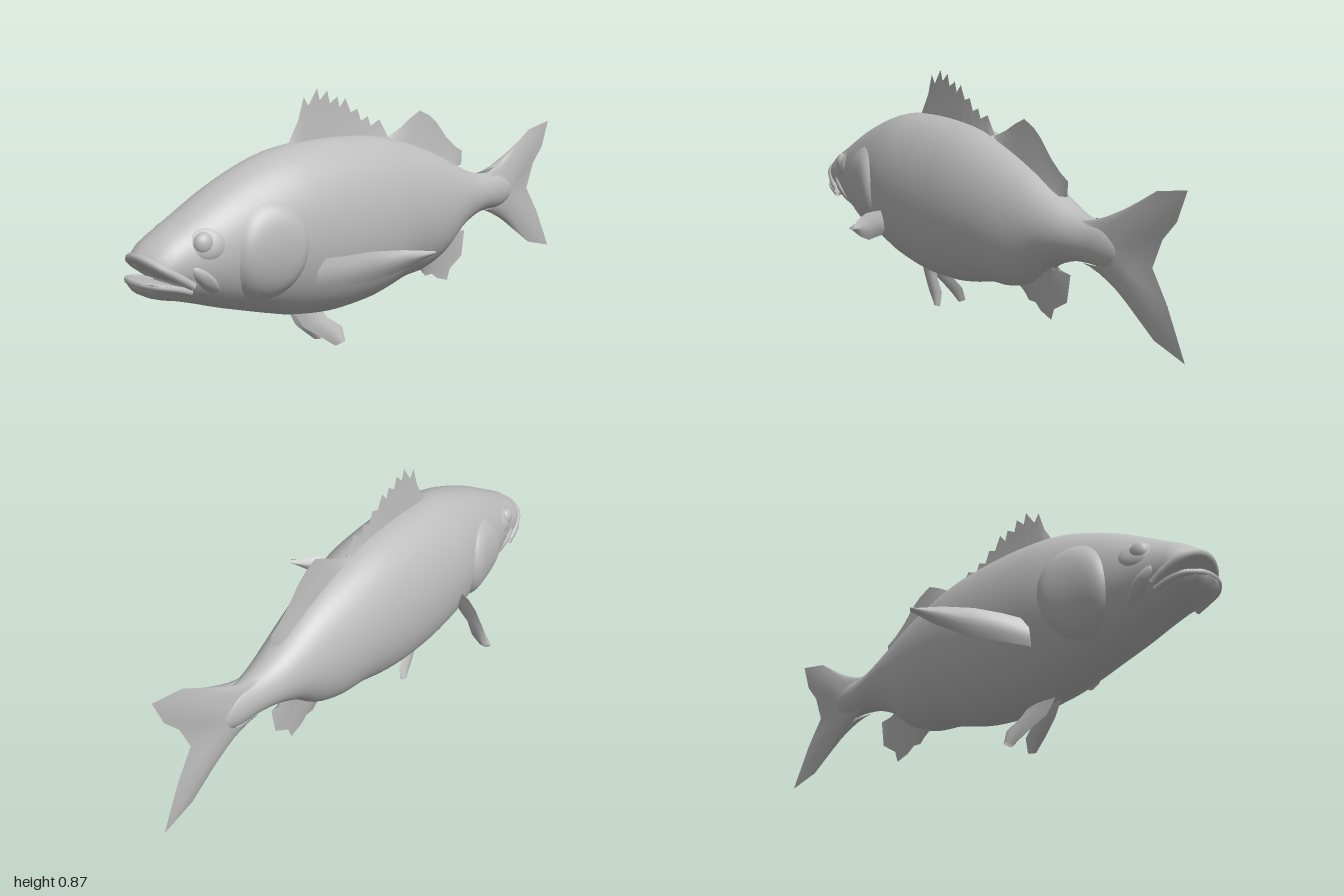
import * as THREE from 'three';

const V = (x, y, z) => new THREE.Vector3(x, y, z);
const lerp = THREE.MathUtils.lerp;
const clamp = THREE.MathUtils.clamp;

// Body stations: z, top, bottom, half width
const STATIONS = [
  [0.86, 0.51, 0.268, 0.115], [0.8, 0.545, 0.25, 0.127], [0.7, 0.6, 0.217, 0.147],
  [0.6, 0.645, 0.188, 0.163], [0.5, 0.68, 0.16, 0.178], [0.4, 0.7, 0.136, 0.188],
  [0.25, 0.71, 0.12, 0.19], [0.1, 0.706, 0.128, 0.184], [0, 0.695, 0.147, 0.176],
  [-0.1, 0.672, 0.174, 0.163], [-0.2, 0.642, 0.185, 0.147], [-0.3, 0.603, 0.222, 0.125],
  [-0.4, 0.555, 0.3, 0.1], [-0.5, 0.515, 0.345, 0.075], [-0.58, 0.5, 0.358, 0.057],
  [-0.66, 0.497, 0.36, 0.044], [-0.72, 0.472, 0.382, 0.028], [-0.75, 0.435, 0.415, 0.006],
];
const heights = new THREE.CatmullRomCurve3(STATIONS.map(s => V(s[0], s[1], s[2])), false, 'catmullrom');
const widths = new THREE.CatmullRomCurve3(STATIONS.map(s => V(s[0], s[3], 0)), false, 'catmullrom');

function bodyStation(t) {
  const a = heights.getPoint(t), b = widths.getPoint(t);
  return [a.x, a.y, a.z, b.y];
}

// Half width of the body surface at a given z and y
function skinX(z, y) {
  let lo = 0, hi = 1;
  for (let i = 0; i < 24; i++) {
    const m = (lo + hi) / 2;
    if (heights.getPoint(m).x > z) lo = m; else hi = m;
  }
  const [, top, bottom, w] = bodyStation(lo);
  const k = (y - (top + bottom) / 2) / ((top - bottom) / 2);
  return w * Math.sqrt(Math.max(0, 1 - k * k));
}

// Smooth surface through rows of points
function grid(rows, closed = false) {
  const n = rows[0].length, pos = [], index = [];
  rows.forEach(r => r.forEach(p => pos.push(p.x, p.y, p.z)));
  for (let i = 0; i < rows.length - 1; i++) {
    for (let j = 0; j < (closed ? n : n - 1); j++) {
      const a = i * n + j, b = i * n + (j + 1) % n;
      index.push(a, a + n, b, b, a + n, b + n);
    }
  }
  const g = new THREE.BufferGeometry();
  g.setAttribute('position', new THREE.Float32BufferAttribute(pos, 3));
  g.setIndex(index);
  g.computeVertexNormals();
  return g;
}

// Elliptical section, optionally cut flat at a lower or upper level
function section([z, top, bottom, w], lo = -9, hi = 9, n = 56) {
  return Array.from({ length: n }, (_, i) => {
    const a = i / n * Math.PI * 2;
    const y = (top + bottom) / 2 + (top - bottom) / 2 * Math.sin(a);
    return V(w * Math.cos(a), clamp(y, lo, hi), z);
  });
}

// Closes a section with its centre point
const centreRow = row => {
  const c = row.reduce((s, p) => s.add(p), V(0, 0, 0)).divideScalar(row.length);
  return row.map(() => c);
};

export function createModel() {
  const model = new THREE.Group();
  const skin = new THREE.MeshStandardMaterial({ color: 0xbcbcbc, side: THREE.DoubleSide });
  skin.name = 'grey skin';
  const add = (name, geometry) => {
    const mesh = new THREE.Mesh(geometry, skin);
    mesh.name = name;
    model.add(mesh);
    return mesh;
  };

  // Fin of two thin skins; each rib is [edge, edge], thickened along a normal
  function fin(name, ribs, normal, thick, profile) {
    for (const side of [1, -1]) {
      add(name, grid(ribs.map(([a, b]) => Array.from({ length: 7 }, (_, i) => {
        const s = i / 6;
        return a.clone().lerp(b, s).addScaledVector(normal, side * thick * profile(s));
      }))));
    }
  }
  // Upright fin on the midline: ribs are baseZ, baseY, tipZ, tipY
  const midFin = (name, ribs, thick) => fin(name,
    ribs.map(([bz, by, tz, ty]) => [V(0, by, bz), V(0, ty, tz)]), V(1, 0, 0), thick, s => Math.pow(1 - s, 1.3) + 0.12 * (1 - s));

  // Body
  const bodyRows = Array.from({ length: 81 }, (_, i) => section(bodyStation(i / 80)));
  add('body', grid([...bodyRows, centreRow(bodyRows[80])], true));
  add('throat', grid([bodyRows[0], centreRow(bodyRows[0])], true));

  // Jaws: head sections split by the open mouth
  const upper = [[0.86, 0.51, 0.268, 0.115, 0.325], [0.9, 0.488, 0.28, 0.109, 0.352],
    [0.93, 0.47, 0.29, 0.1, 0.375], [0.96, 0.447, 0.31, 0.077, 0.395], [0.982, 0.432, 0.33, 0.035, 0.408]]
    .map(s => section(s, s[4]));
  add('upperJaw', grid([...upper, centreRow(upper[4])], true));
  const lower = [[0.86, 0.51, 0.268, 0.115, 0.318], [0.9, 0.48, 0.277, 0.112, 0.332],
    [0.94, 0.44, 0.29, 0.102, 0.342], [0.975, 0.41, 0.308, 0.075, 0.349], [0.994, 0.38, 0.328, 0.03, 0.352]]
    .map(s => section(s, -9, s[4]));
  add('lowerJaw', grid([...lower, centreRow(lower[4])], true));

  // Lips run round each jaw
  const lip = (name, pts, r) => {
    const all = [...pts.map(p => V(-p[0], p[1], p[2])), ...pts.slice(0, -1).reverse().map(p => V(...p))];
    add(name, new THREE.TubeGeometry(new THREE.CatmullRomCurve3(all), 40, r, 8));
  };
  lip('upperLip', [[0.109, 0.33, 0.855], [0.104, 0.362, 0.9], [0.085, 0.393, 0.944], [0.045, 0.413, 0.968], [0, 0.42, 0.975]], 0.014);
  lip('lowerLip', [[0.104, 0.312, 0.86], [0.099, 0.329, 0.91], [0.084, 0.338, 0.95], [0.045, 0.344, 0.98], [0, 0.346, 0.988]], 0.011);

  // Raised oval plate lying on the body surface
  function plate(name, side, cz, cy, rz, ry, tilt, lift, sharp) {
    const rows = [];
    for (let i = 0; i <= 14; i++) {
      const r = i / 14, row = [];
      for (let j = 0; j < 40; j++) {
        const a = j / 40 * Math.PI * 2;
        const u = r * Math.cos(a) * rz, v = r * Math.sin(a) * ry;
        const z = Math.min(0.859, cz + u * Math.cos(tilt) - v * Math.sin(tilt));
        const y = cy + u * Math.sin(tilt) + v * Math.cos(tilt);
        row.push(V(side * (skinX(z, y) - 0.004 + lift * (1 - Math.pow(r, sharp))), y, z));
      }
      rows.push(row);
    }
    add(name, grid(rows, true));
  }

  for (const side of [1, -1]) {
    const label = side > 0 ? 'left' : 'right';

    // Eye, brow ring, cheek bone and gill cover
    const eye = add(label + 'Eye', new THREE.SphereGeometry(0.036, 28, 18));
    eye.scale.set(0.75, 1, 1);
    eye.position.set(side * 0.104, 0.452, 0.81);
    plate(label + 'EyeSocket', side, 0.8, 0.452, 0.055, 0.052, 0, 0.012, 3);
    plate(label + 'CheekBone', side, 0.81, 0.34, 0.075, 0.024, 0.75, 0.014, 3);
    plate(label + 'GillCover', side, 0.585, 0.395, 0.125, 0.165, 0.1, 0.023, 7);

    // Side fins
    const mirror = ribs => ribs.map(r => r.map(p => V(side * p[0], p[1], p[2])));
    const lens = s => Math.sin(Math.PI * s);
    fin(label + 'PectoralFin', mirror([
      [[0.165, 0.35, 0.405], [0.165, 0.25, 0.42]],
      [[0.235, 0.364, 0.36], [0.235, 0.262, 0.365]],
      [[0.3, 0.38, 0.3], [0.3, 0.284, 0.285]],
      [[0.37, 0.385, 0.23], [0.38, 0.328, 0.205]],
      [[0.437, 0.381, 0.157], [0.437, 0.374, 0.152]],
    ]), V(side * 0.68, 0, 0.73), 0.014, lens);
    fin(label + 'PelvicFin', mirror([
      [[0.012, 0.145, 0.39], [0.015, 0.145, 0.28]],
      [[0.02, 0.083, 0.35], [0.03, 0.1, 0.25]],
      [[0.04, 0.04, 0.29], [0.046, 0.06, 0.197]],
      [[0.053, 0.001, 0.235], [0.058, 0.012, 0.195]],
    ]), V(side * 0.9, 0.4, 0), 0.012, lens);
  }

  // Spiny front dorsal fin: outline of spine tips and notches
  const spines = [[0.39, 0.7], [0.345, 0.775], [0.32, 0.85], [0.3, 0.82], [0.262, 0.875], [0.25, 0.835],
    [0.217, 0.865], [0.205, 0.822], [0.172, 0.842], [0.16, 0.805], [0.135, 0.835], [0.11, 0.785],
    [0.08, 0.795], [0.062, 0.752], [0.03, 0.765], [0.018, 0.73], [-0.025, 0.75], [-0.065, 0.69]];
  midFin('spinyDorsalFin', spines.map(([z, y], i) => [lerp(0.39, -0.06, i / 17), 0.68, z, y]), 0.009);

  // Soft rear dorsal fin
  midFin('softDorsalFin', [[-0.06, 0.67, -0.07, 0.685], [-0.09, 0.66, -0.13, 0.712], [-0.13, 0.65, -0.18, 0.742],
    [-0.18, 0.635, -0.23, 0.766], [-0.22, 0.62, -0.28, 0.745], [-0.27, 0.6, -0.32, 0.715], [-0.31, 0.58, -0.37, 0.66],
    [-0.34, 0.565, -0.42, 0.62], [-0.37, 0.555, -0.46, 0.598], [-0.4, 0.54, -0.457, 0.547]], 0.013);

  // Anal fin
  midFin('analFin', [[-0.2, 0.205, -0.23, 0.185], [-0.23, 0.21, -0.265, 0.15], [-0.25, 0.215, -0.3, 0.152],
    [-0.28, 0.23, -0.33, 0.13], [-0.31, 0.245, -0.385, 0.113], [-0.33, 0.26, -0.4, 0.155], [-0.35, 0.28, -0.465, 0.195],
    [-0.37, 0.295, -0.48, 0.292], [-0.39, 0.31, -0.43, 0.283]], 0.015);

  // Forked tail fin
  midFin('tailFin', [[-0.56, 0.495, -0.66, 0.52], [-0.6, 0.487, -0.78, 0.595], [-0.64, 0.477, -0.86, 0.645],
    [-0.68, 0.465, -0.982, 0.67], [-0.7, 0.45, -0.945, 0.57], [-0.71, 0.435, -0.89, 0.505], [-0.715, 0.42, -0.852, 0.41],
    [-0.71, 0.405, -0.92, 0.31], [-0.7, 0.388, -1, 0.155], [-0.67, 0.375, -0.87, 0.188], [-0.63, 0.366, -0.75, 0.27],
    [-0.57, 0.362, -0.66, 0.34]], 0.026);

  return model;
}
